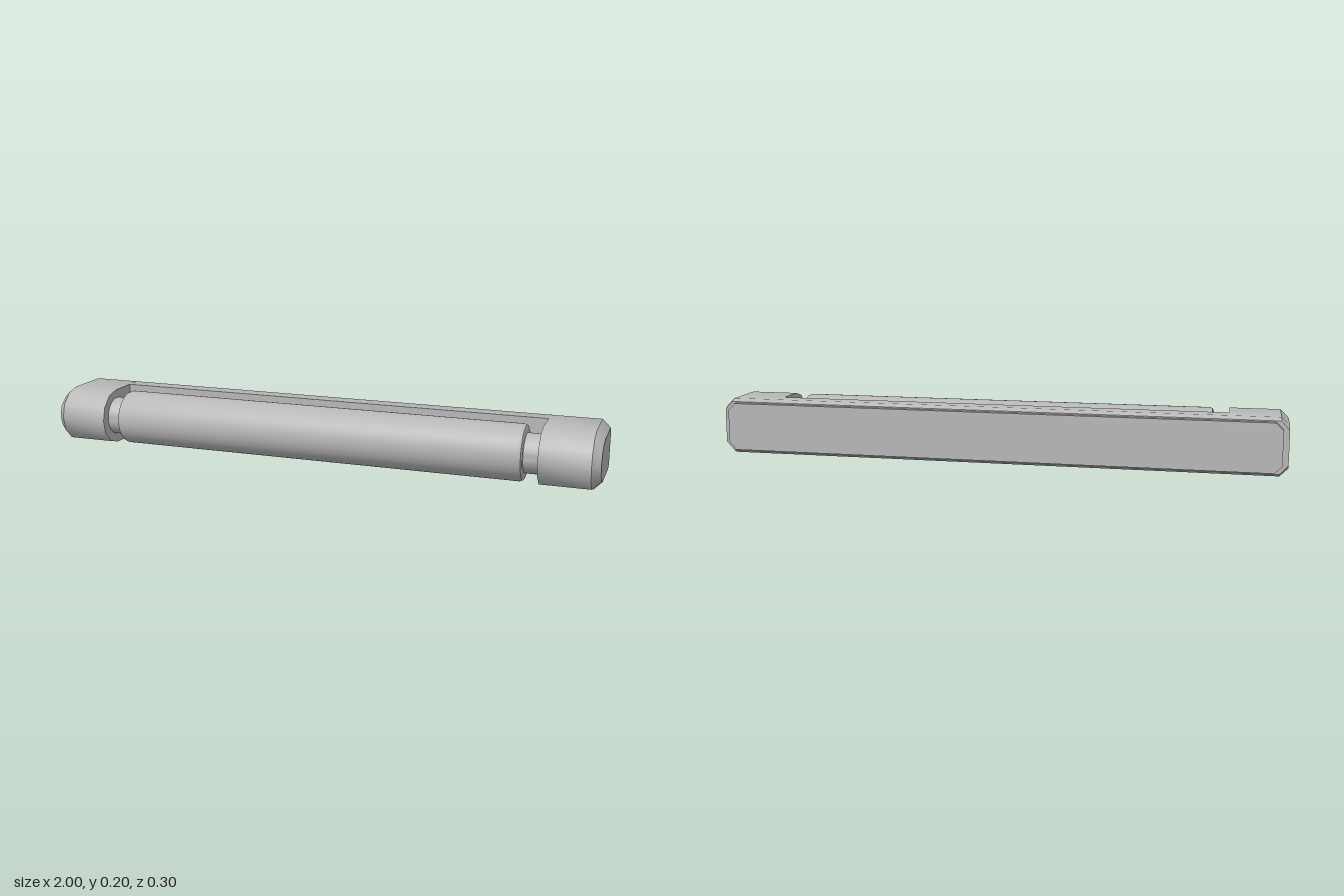
import * as THREE from 'three';
import { toCreasedNormals } from 'three/addons/utils/BufferGeometryUtils.js';

const grey = new THREE.MeshStandardMaterial({ color: 0xb8b8b8 });
grey.name = 'grey';

// Skin convex cross-sections (lists of [x, y, z]) ordered by rising x, with both ends capped
function loft(sections) {
  const pos = [];
  const tri = (...points) => points.forEach((p) => pos.push(...p));
  const n = sections[0].length;
  for (let k = 0; k < sections.length - 1; k++) {
    const low = sections[k], high = sections[k + 1];
    for (let i = 0; i < n; i++) {
      const j = (i + 1) % n;
      tri(low[i], high[i], low[j]);
      tri(low[j], high[i], high[j]);
    }
  }
  const first = sections[0], last = sections[sections.length - 1];
  for (let i = 1; i < n - 1; i++) {
    tri(first[0], first[i], first[i + 1]);
    tri(last[0], last[i + 1], last[i]);
  }
  const geometry = new THREE.BufferGeometry();
  geometry.setAttribute('position', new THREE.Float32BufferAttribute(pos, 3));
  geometry.computeVertexNormals();
  return toCreasedNormals(geometry, 0.6);
}

// Mirror the lower half of a [z, y] profile about y = 0.1
function closeProfile(lower) {
  const upper = lower.filter(([, y]) => y < 0.1).reverse().map(([z, y]) => [z, 0.2 - y]);
  return [...lower, ...upper];
}

const at = (x, profile) => profile.map(([z, y]) => [x, y, z]);

// Solid of revolution about the x axis, from [x, radius] points
function turned(points) {
  const lathe = new THREE.LatheGeometry(points.map(([x, r]) => new THREE.Vector2(r, x)), 48);
  return toCreasedNormals(lathe.rotateZ(-Math.PI / 2), 0.6);
}

export function createModel() {
  const model = new THREE.Group();
  const add = (name, geometry, x = 0, y = 0, z = 0) => {
    const mesh = new THREE.Mesh(geometry, grey);
    mesh.name = name;
    mesh.position.set(x, y, z);
    model.add(mesh);
  };

  // End blocks with a rounded nose and a bevelled outer face
  const block = closeProfile([[-0.13, 0.01], [-0.113, 0], [0.053, 0], [0.1, 0.013], [0.137, 0.05], [0.15, 0.1]]);
  const face = closeProfile([[-0.13, 0.041], [-0.113, 0.028], [0.05, 0.028], [0.087, 0.038], [0.114, 0.064], [0.124, 0.1]]);
  add('leftEndBlock', loft([at(0.8, block), at(0.972, block), at(1, face)]));
  add('rightEndBlock', loft([at(-1, face), at(-0.972, block), at(-0.8, block)]));

  // Bar joining the blocks behind the roller
  const bar = closeProfile([[-0.13, 0.01], [-0.113, 0], [-0.055, 0]]);
  add('backBar', loft([at(-0.8, bar), at(0.8, bar)]));

  // Mounting plate with clipped corners
  const w = 0.98, h = 0.085, c = 0.025;
  const plate = new THREE.Shape([
    [-w + c, -h], [w - c, -h], [w, -h + c], [w, h - c],
    [w - c, h], [-w + c, h], [-w, h - c], [-w, -h + c],
  ].map(([x, y]) => new THREE.Vector2(x, y)));
  add('mountingPlate', new THREE.ExtrudeGeometry(plate, { depth: 0.02, bevelEnabled: false }), 0, 0.101, -0.15);

  // Roller with rounded rims, on a thinner axle
  const r = 0.097, e = 0.747;
  add('roller', turned([
    [-e, 0], [-e, r - 0.014], [-e + 0.004, r - 0.004], [-e + 0.014, r],
    [e - 0.014, r], [e - 0.004, r - 0.004], [e, r - 0.014], [e, 0],
  ]), 0, 0.102, 0.047);
  add('axle', turned([[-0.81, 0], [-0.81, 0.068], [0.81, 0.068], [0.81, 0]]), 0, 0.102, 0.047);

  return model;
}
